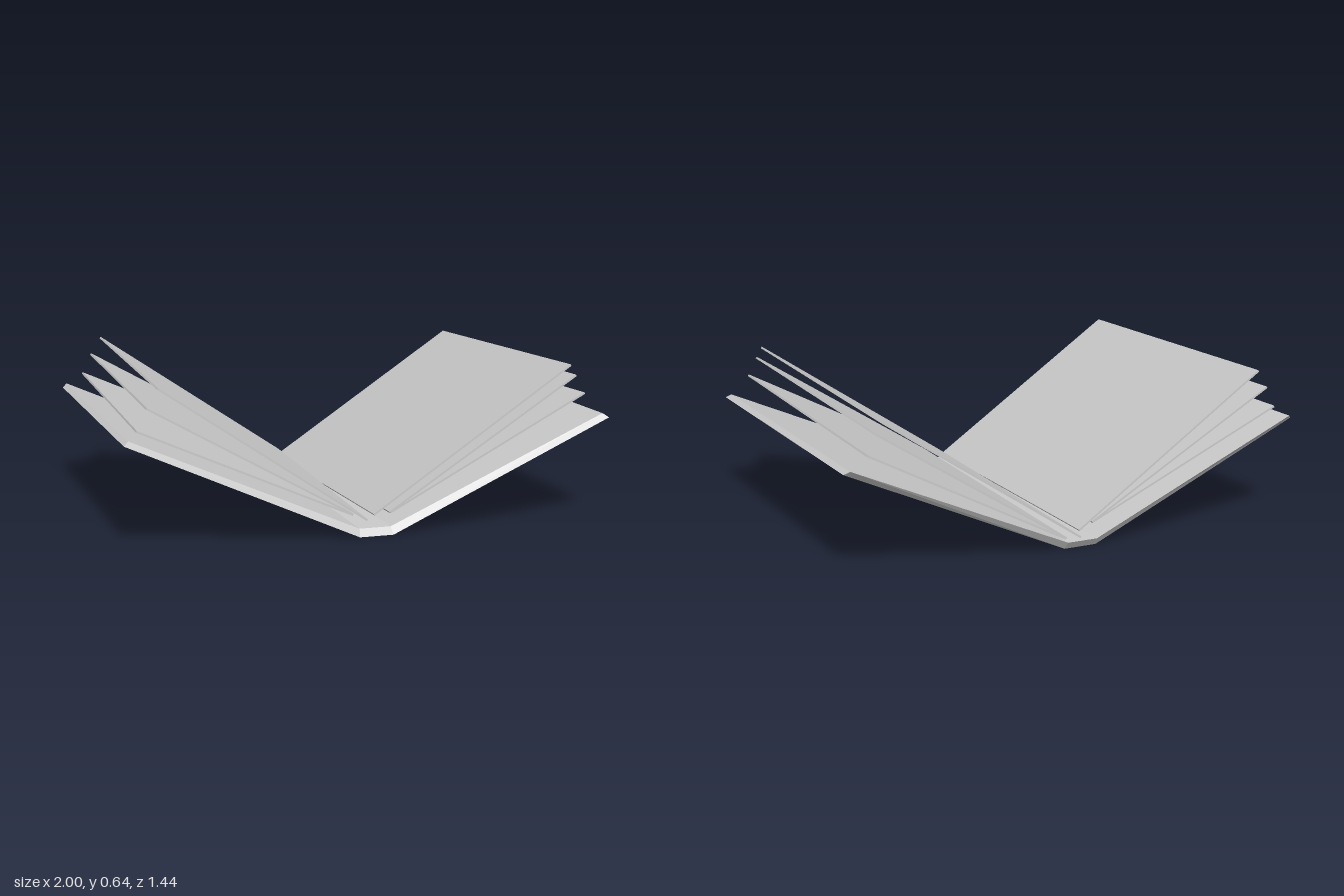
import * as THREE from 'three';

const material = new THREE.MeshStandardMaterial({ color: 0xcccccc, flatShading: true });

// Extrude a front profile along z from back to front
function extrude(points, zBack, zFront) {
  const shape = new THREE.Shape(points.map(([x, y]) => new THREE.Vector2(x, y)));
  const geometry = new THREE.ExtrudeGeometry(shape, { depth: zFront - zBack, bevelEnabled: false });
  return geometry.translate(0, 0, zBack);
}

// Move every vertex by a rule, then refresh the normals
function reshape(geometry, rule) {
  const pos = geometry.attributes.position;
  const v = new THREE.Vector3();
  for (let i = 0; i < pos.count; i++) {
    rule(v.fromBufferAttribute(pos, i));
    pos.setXYZ(i, v.x, v.y, v.z);
  }
  geometry.computeVertexNormals();
  return geometry;
}

function addMesh(group, name, geometry) {
  const mesh = new THREE.Mesh(geometry, material);
  mesh.name = name;
  group.add(mesh);
}

// Thin sheet from spine edge to outer edge, drifting by (dx, dy) towards the back
function pageGeometry([x0, y0], [x1, y1], dx, dy, zFront) {
  const zBack = -0.71, thickness = 0.008;
  const length = Math.hypot(x1 - x0, y1 - y0);
  const nx = -(y1 - y0) / length * Math.sign(x1 - x0) * thickness;
  const ny = Math.abs(x1 - x0) / length * thickness;
  const profile = [[x0, y0], [x1, y1], [x1 - nx, y1 - ny], [x0 - nx, y0 - ny]];
  return reshape(extrude(profile, zBack, zFront), (v) => {
    const t = (zFront - v.z) / (zFront - zBack);
    v.x += dx * t;
    v.y += dy * t;
  });
}

export function createModel() {
  const book = new THREE.Group();
  book.name = 'openBook';

  // Cover: two boards and a flat spine, with the inside face set slightly back
  const outer = [[0.07, 0], [1, 0.42]];
  const inner = [[0.98, 0.435], [0.065, 0.03]];
  const half = [...outer, ...inner];
  const mirrored = half.map(([x, y]) => [-x, y]).reverse();
  const cover = reshape(extrude([...half, ...mirrored], -0.71, 0.71), (v) => {
    const height = v.y - 0.452 * Math.max(Math.abs(v.x) - 0.07, 0);
    v.z += height > 0.01 ? -0.01 : 0.01;
  });
  addMesh(book, 'cover', cover);

  // Fanned pages: [spine edge, outer edge] at the front, top page first
  const leftPages = [
    [[0, 0.08], [0.84, 0.64]],
    [[0.065, 0.085], [0.865, 0.597]],
    [[0.07, 0.085], [0.905, 0.522]],
  ];
  const rightPages = [
    [[-0.02, 0.057], [-0.855, 0.625]],
    [[-0.08, 0.085], [-0.9, 0.552]],
    [[-0.08, 0.083], [-0.94, 0.467]],
  ];
  leftPages.forEach(([a, b], i) =>
    addMesh(book, `leftPage${i + 1}`, pageGeometry(a, b, 0, -0.036, 0.68)));
  rightPages.forEach(([a, b], i) =>
    addMesh(book, `rightPage${i + 1}`, pageGeometry(a, b, 0.033, 0.017, 0.67)));

  return book;
}
